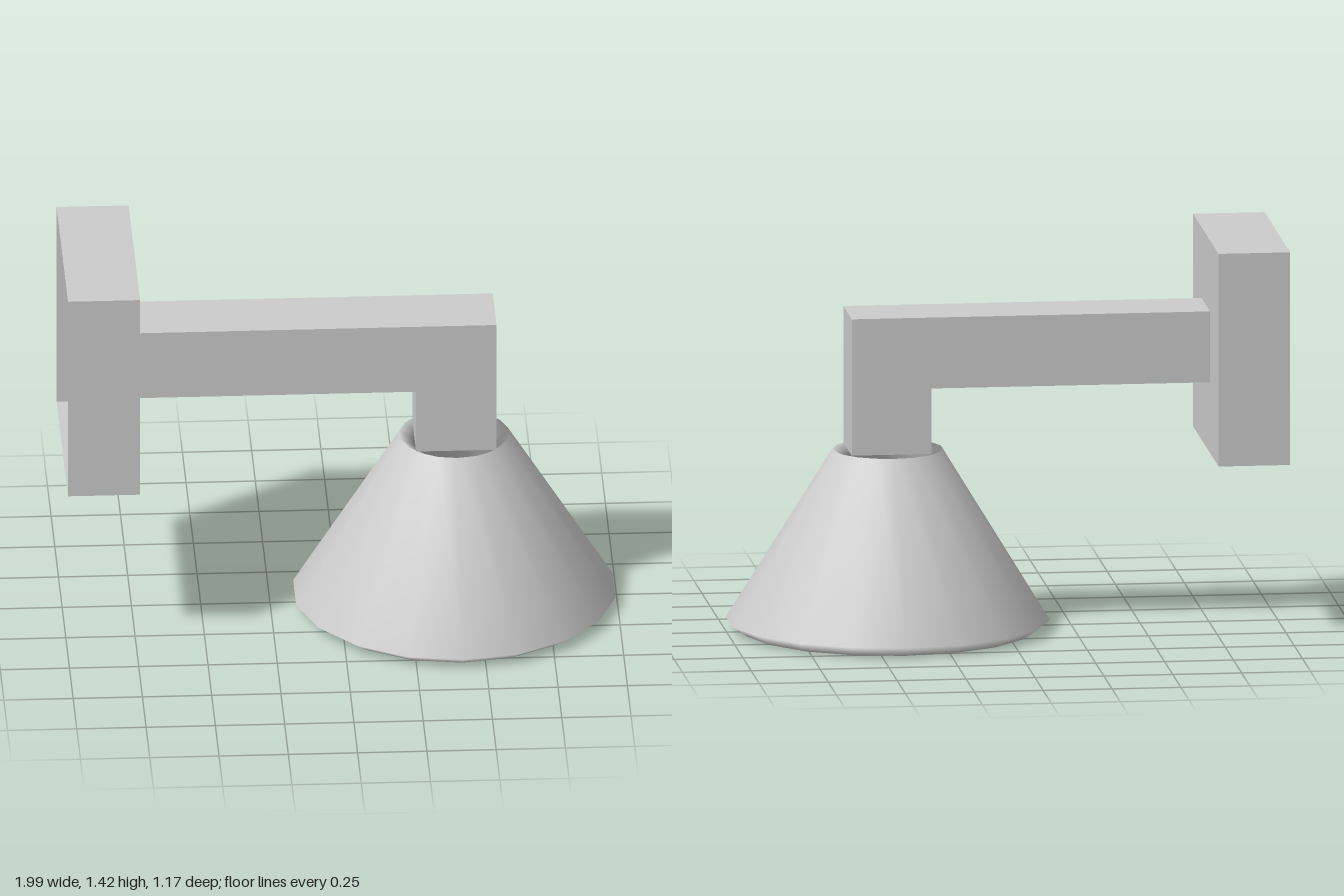
import * as THREE from 'three';

const v = (x, y, z) => new THREE.Vector3(x, y, z);

// Flat-faced wall strip joining two matching outlines
function strip(a, b) {
  const pts = [];
  for (let i = 0; i < a.length - 1; i++) {
    pts.push(a[i], b[i], b[i + 1], a[i], b[i + 1], a[i + 1]);
  }
  const g = new THREE.BufferGeometry().setFromPoints(pts);
  g.computeVertexNormals();
  return g;
}

const rect = (x0, x1, y0, y1) => [[x0, y0], [x1, y0], [x1, y1], [x0, y1]]
  .map(([x, y]) => new THREE.Vector2(x, y));

export function createModel() {
  const model = new THREE.Group();
  const grey = new THREE.MeshStandardMaterial({ color: 0xcccccc, side: THREE.DoubleSide });
  grey.name = 'light grey';

  const add = (parent, name, geometry) => {
    const mesh = new THREE.Mesh(geometry, grey);
    mesh.name = name;
    parent.add(mesh);
    return mesh;
  };
  const group = (name) => {
    const g = new THREE.Group();
    g.name = name;
    model.add(g);
    return g;
  };

  const armBack = -0.12, armFront = 0.14, armLow = 0.9, armTop = 1.16;
  const plateFace = -0.74;

  // Wall plate: hollow box, open to the wall, with an opening into the arm
  const plate = group('wallPlate');
  const rim = [[0.64, 0.4], [0.64, -0.38], [1.42, -0.38], [1.42, 0.4], [0.64, 0.4]];
  add(plate, 'plateSides', strip(
    rim.map(([y, z]) => v(plateFace, y, z)),
    rim.map(([y, z]) => v(-1, y, z))));
  const face = new THREE.Shape(rect(-0.4, 0.38, 0.64, 1.42));
  face.holes.push(new THREE.Path(rect(-armFront, -armBack, armLow, armTop)));
  add(plate, 'plateFace', new THREE.ShapeGeometry(face).rotateY(Math.PI / 2))
    .position.x = plateFace;

  // Arm: hollow L-shaped bar, open at the plate end
  const arm = group('arm');
  const bar = [[plateFace, armLow], [0.27, armLow], [0.27, 0.66],
    [0.56, 0.66], [0.56, armTop], [plateFace, armTop]];
  add(arm, 'armEdges', strip(
    bar.map(([x, y]) => v(x, y, armFront)),
    bar.map(([x, y]) => v(x, y, armBack))));
  const side = new THREE.Shape(bar.map(([x, y]) => new THREE.Vector2(x, y)));
  add(arm, 'armFrontSide', new THREE.ShapeGeometry(side)).position.z = armFront;
  add(arm, 'armBackSide', new THREE.ShapeGeometry(side).scale(-1, 1, 1).rotateY(Math.PI))
    .position.z = armBack;

  // Shade: thick open cone with slanted rims
  const profile = [[0.34, 0.315], [0.53, 0], [0.585, 0.038], [0.2, 0.66], [0.15, 0.63], [0.34, 0.315]]
    .map(([r, y]) => new THREE.Vector2(r, y));
  add(model, 'shade', new THREE.LatheGeometry(profile, 18)).position.x = 0.415;

  // Back side of the arm faces away from the front
  const back = arm.getObjectByName('armBackSide').geometry;
  const index = back.index.array;
  for (let i = 0; i < index.length; i += 3) {
    [index[i], index[i + 1]] = [index[i + 1], index[i]];
  }
  back.computeVertexNormals();

  return model;
}
